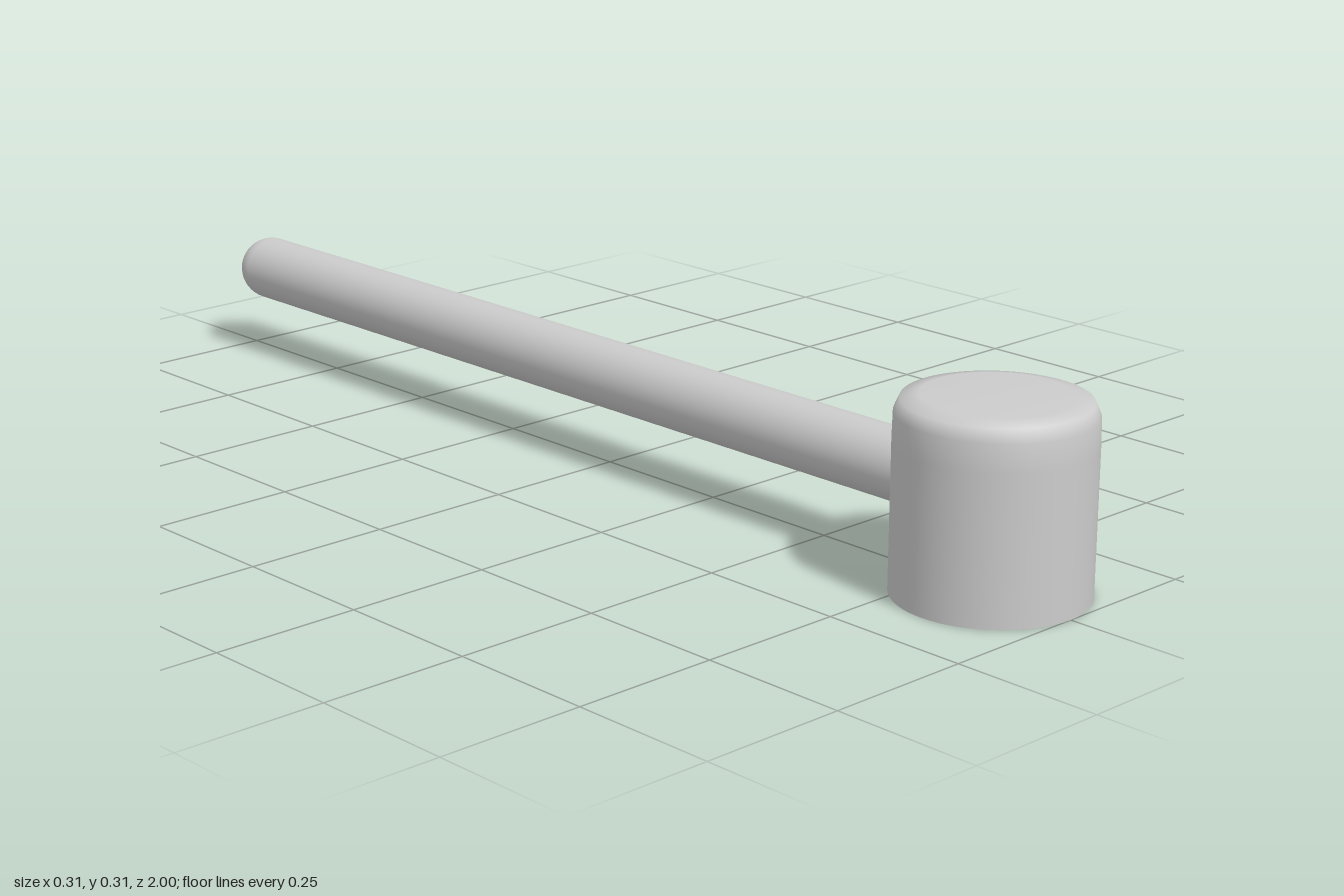
import * as THREE from 'three';

const material = new THREE.MeshStandardMaterial({ color: 0xcccccc, side: THREE.DoubleSide });

function lathe(name, points, segments) {
  const profile = points.map(([r, y]) => new THREE.Vector2(r, y));
  const mesh = new THREE.Mesh(new THREE.LatheGeometry(profile, segments), material);
  mesh.name = name;
  return mesh;
}

export function createModel() {
  const group = new THREE.Group();
  group.name = 'scoop';

  // Hollow head: closed, softly bevelled top and open underside
  const head = lathe('head', [
    [0.155, 0], [0.155, 0.24], [0.154, 0.285], [0.145, 0.306], [0.115, 0.3125], [0, 0.3125],
  ], 64);
  head.position.z = 0.845;
  group.add(head);

  // Round handle running back from the head wall to a domed tip
  const radius = 0.057, start = 0.705, tip = -1;
  const length = start - tip;
  const profile = [[radius, 0]];
  const steps = 12;
  for (let i = 0; i <= steps; i++) {
    const a = (i / steps) * Math.PI / 2;
    profile.push([radius * Math.cos(a), length - radius + radius * Math.sin(a)]);
  }
  const handle = lathe('handle', profile, 48);
  handle.rotation.x = -Math.PI / 2;
  handle.position.set(0, 0.156, start);
  group.add(handle);

  return group;
}
